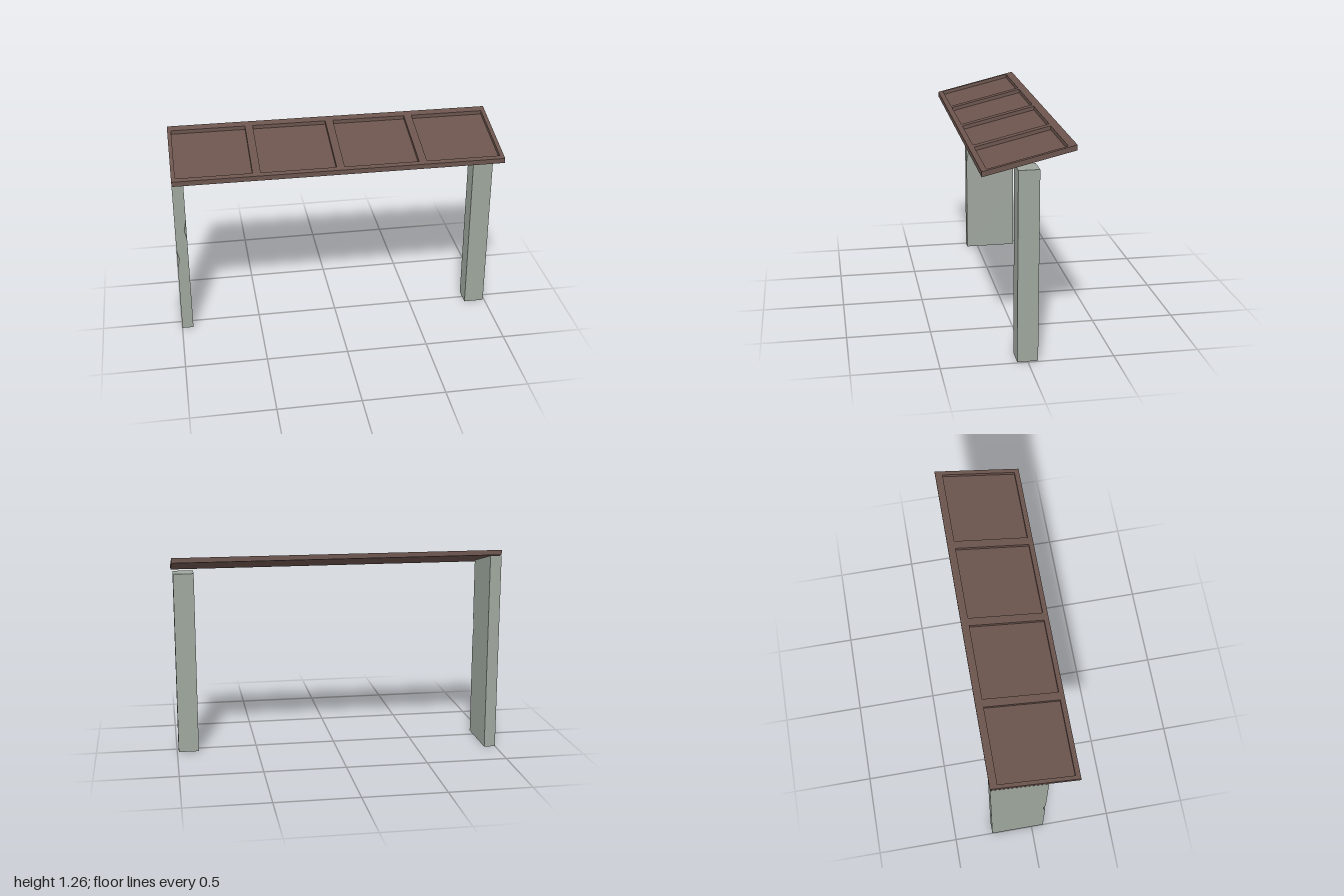
import * as THREE from 'three';

const brown = new THREE.MeshStandardMaterial({ color: 0x6b544d });
brown.name = 'brown roof';
const sage = new THREE.MeshStandardMaterial({ color: 0x9ea69d });
sage.name = 'grey green stone';

// Height of the sloping roof underside at depth z
const underside = z => 1.1675 - 0.2404 * z;

function rect(path, x0, z0, x1, z1) {
  path.moveTo(x0, -z1);
  path.lineTo(x1, -z1);
  path.lineTo(x1, -z0);
  path.lineTo(x0, -z0);
  path.closePath();
  return path;
}

// Horizontal plate extruded from a plan outline, then sheared to the roof slope
function slopedPlate(name, holes, lift, thickness) {
  const shape = rect(new THREE.Shape(), -1, -0.26, 1, 0.26);
  shape.holes = holes;
  const geo = new THREE.ExtrudeGeometry(shape, { depth: thickness, bevelEnabled: false });
  geo.rotateX(-Math.PI / 2);
  const p = geo.attributes.position;
  for (let i = 0; i < p.count; i++) p.setY(i, p.getY(i) + lift + underside(p.getZ(i)));
  geo.computeVertexNormals();
  const mesh = new THREE.Mesh(geo, brown);
  mesh.name = name;
  return mesh;
}

// Slab post with a sloping top and a chip out of each front corner
function chippedPost() {
  const x0 = -1, x1 = -0.93, z0 = -0.26, z1 = 0.075;
  // [height, outer chip, inner chip]
  const levels = [
    [0, 0, 0], [0.44, 0, 0], [0.51, 0.014, 0], [0.58, 0, 0],
    [0.64, 0, 0], [0.71, 0, 0.014], [0.78, 0, 0], [null, 0, 0],
  ];
  const rings = levels.map(([y, a, b]) => [
    [x1, z0], [x0, z0], [x0, z1 - a], [x0 + a, z1], [x1 - b, z1], [x1, z1 - b],
  ].map(([x, z]) => new THREE.Vector3(x, y === null ? underside(z) - 0.004 : y, z)));

  const pts = [];
  const tri = (a, b, c) => {
    if (new THREE.Triangle(a, b, c).getArea() > 1e-7) pts.push(a, b, c);
  };
  for (let k = 0; k < rings.length - 1; k++) {
    const lo = rings[k], hi = rings[k + 1];
    for (let i = 0; i < 6; i++) {
      const j = (i + 1) % 6;
      tri(lo[i], lo[j], hi[j]);
      tri(lo[i], hi[j], hi[i]);
    }
  }
  // End caps
  const bottom = rings[0], top = rings[rings.length - 1];
  for (let i = 1; i < 5; i++) {
    tri(bottom[0], bottom[i + 1], bottom[i]);
    tri(top[0], top[i], top[i + 1]);
  }
  const geo = new THREE.BufferGeometry().setFromPoints(pts);
  geo.computeVertexNormals();
  return new THREE.Mesh(geo, sage);
}

export function createModel() {
  const model = new THREE.Group();
  model.name = 'shelter';

  // Roof: thin floor plate with a four-bay frame on top
  const roof = new THREE.Group();
  roof.name = 'roof';
  const bays = [];
  for (let i = 0; i < 4; i++) {
    const x = -0.977 + i * 0.5;
    bays.push(rect(new THREE.Path(), x, -0.215, x + 0.452, 0.23));
  }
  roof.add(slopedPlate('roofPanel', [], 0, 0.007));
  roof.add(slopedPlate('roofFrame', bays, 0.007, 0.023));
  model.add(roof);

  // Wide chipped slab on the right side
  const slab = chippedPost();
  slab.name = 'slabPost';
  model.add(slab);

  // Plain square post on the left side
  const post = new THREE.Mesh(new THREE.BoxGeometry(0.125, 1.13, 0.12), sage);
  post.position.set(0.928, 0.565, 0);
  post.name = 'squarePost';
  model.add(post);

  return model;
}
